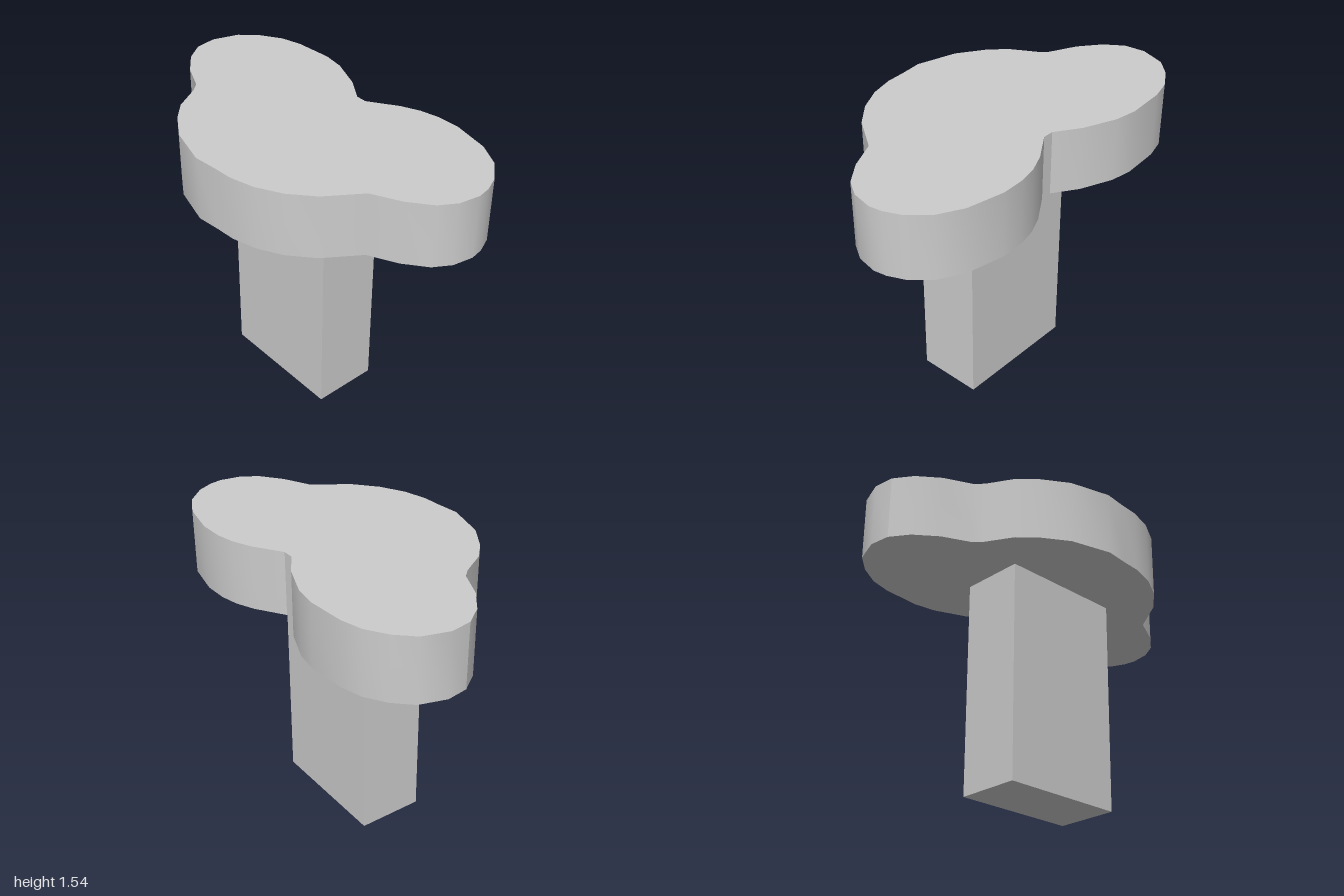
import * as THREE from 'three';
import { toCreasedNormals } from 'three/addons/utils/BufferGeometryUtils.js';

// Three-lobed outline seen from above, as [x, z]
const OUTLINE = [
  [-0.01, -0.4], [0.05, -0.4], [0.2, -0.5], [0.3, -0.545], [0.4, -0.568], [0.53, -0.573],
  [0.73, -0.533], [0.86, -0.465], [0.95, -0.365], [0.988, -0.28], [1, -0.21], [0.98, -0.1],
  [0.925, -0.01], [0.81, 0.08], [0.66, 0.155], [0.535, 0.34], [0.415, 0.445], [0.285, 0.515],
  [0.155, 0.55], [0.045, 0.557], [-0.08, 0.57], [-0.3, 0.51], [-0.44, 0.42], [-0.53, 0.335],
  [-0.61, 0.195], [-0.65, 0.15], [-0.8, 0.08], [-0.915, -0.01], [-0.985, -0.11], [-1, -0.225],
  [-0.955, -0.365], [-0.87, -0.455], [-0.76, -0.525], [-0.645, -0.557], [-0.435, -0.573],
  [-0.315, -0.555], [-0.14, -0.485],
];
const CROWN_BOTTOM = 1.19;
const CROWN_TOP = 1.54;

export function createModel() {
  const model = new THREE.Group();
  model.name = 'lobedTree';

  const grey = new THREE.MeshStandardMaterial({ color: 0xcccccc });
  grey.name = 'lightGrey';

  // Crown: thick slab with smooth lobes and sharp notches
  const shape = new THREE.Shape(OUTLINE.map(([x, z]) => new THREE.Vector2(x, -z)));
  const slab = new THREE.ExtrudeGeometry(shape, {
    depth: CROWN_TOP - CROWN_BOTTOM, bevelEnabled: false,
  });
  slab.rotateX(-Math.PI / 2);
  const crown = new THREE.Mesh(toCreasedNormals(slab, THREE.MathUtils.degToRad(27)), grey);
  crown.name = 'crown';
  crown.position.y = CROWN_BOTTOM;
  model.add(crown);

  // Trunk: rectangular post, slightly behind the centre
  const trunk = new THREE.Mesh(new THREE.BoxGeometry(0.705, CROWN_BOTTOM, 0.355), grey);
  trunk.name = 'trunk';
  trunk.position.set(0.0025, CROWN_BOTTOM / 2, -0.0325);
  model.add(trunk);

  return model;
}
